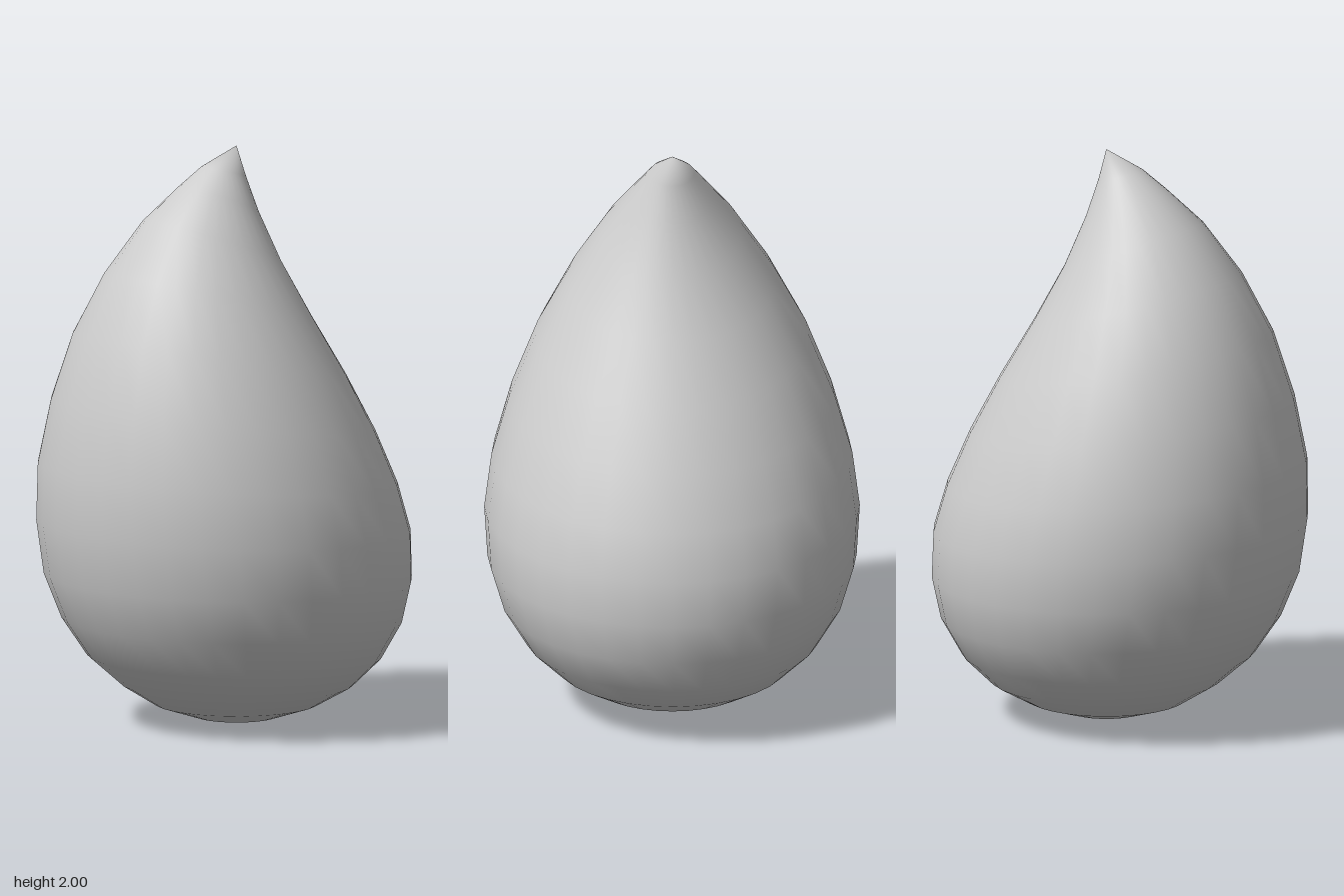
import * as THREE from 'three';
import { mergeVertices } from 'three/addons/utils/BufferGeometryUtils.js';

// Rings from base to tip: [centre x, centre y, radius, tilt (rise of the -x side)]
const RINGS = [
  [0.05, 0, 0, 0],
  [0.05, 0.02, 0.14, 0],
  [0.05, 0.065, 0.28, 0],
  [0.05, 0.135, 0.4, 0.005],
  [0.04, 0.233, 0.505, 0.008],
  [0.03, 0.363, 0.585, 0.01],
  [0.012, 0.515, 0.632, 0.015],
  [-0.007, 0.69, 0.643, 0.03],
  [-0.032, 0.872, 0.618, 0.05],
  [-0.052, 1.077, 0.557, 0.073],
  [-0.07, 1.293, 0.468, 0.09],
  [-0.075, 1.497, 0.356, 0.095],
  [-0.058, 1.68, 0.238, 0.088],
  [-0.028, 1.822, 0.138, 0.055],
  [-0.006, 1.918, 0.076, 0.02],
  [0.05, 2, 0, 0],
];

export function createModel() {
  const group = new THREE.Group();
  group.name = 'teardrop';

  // Lathe whose height is the ring number, then every ring is shifted and tilted
  const lathe = new THREE.LatheGeometry(RINGS.map((ring, k) => new THREE.Vector2(ring[2], k)), 32);
  const pos = lathe.attributes.position;
  for (let i = 0; i < pos.count; i++) {
    const [cx, cy, radius, tilt] = RINGS[Math.round(pos.getY(i))];
    const x = pos.getX(i);
    pos.setX(i, cx + x);
    pos.setY(i, cy - (radius ? (tilt * x) / radius : 0));
  }

  // Weld seam and poles for smooth shading
  lathe.deleteAttribute('uv');
  lathe.deleteAttribute('normal');
  const geometry = mergeVertices(lathe, 1e-4);
  geometry.computeVertexNormals();

  const drop = new THREE.Mesh(geometry, new THREE.MeshStandardMaterial({ color: 0xcccccc }));
  drop.name = 'drop';
  group.add(drop);
  return group;
}
